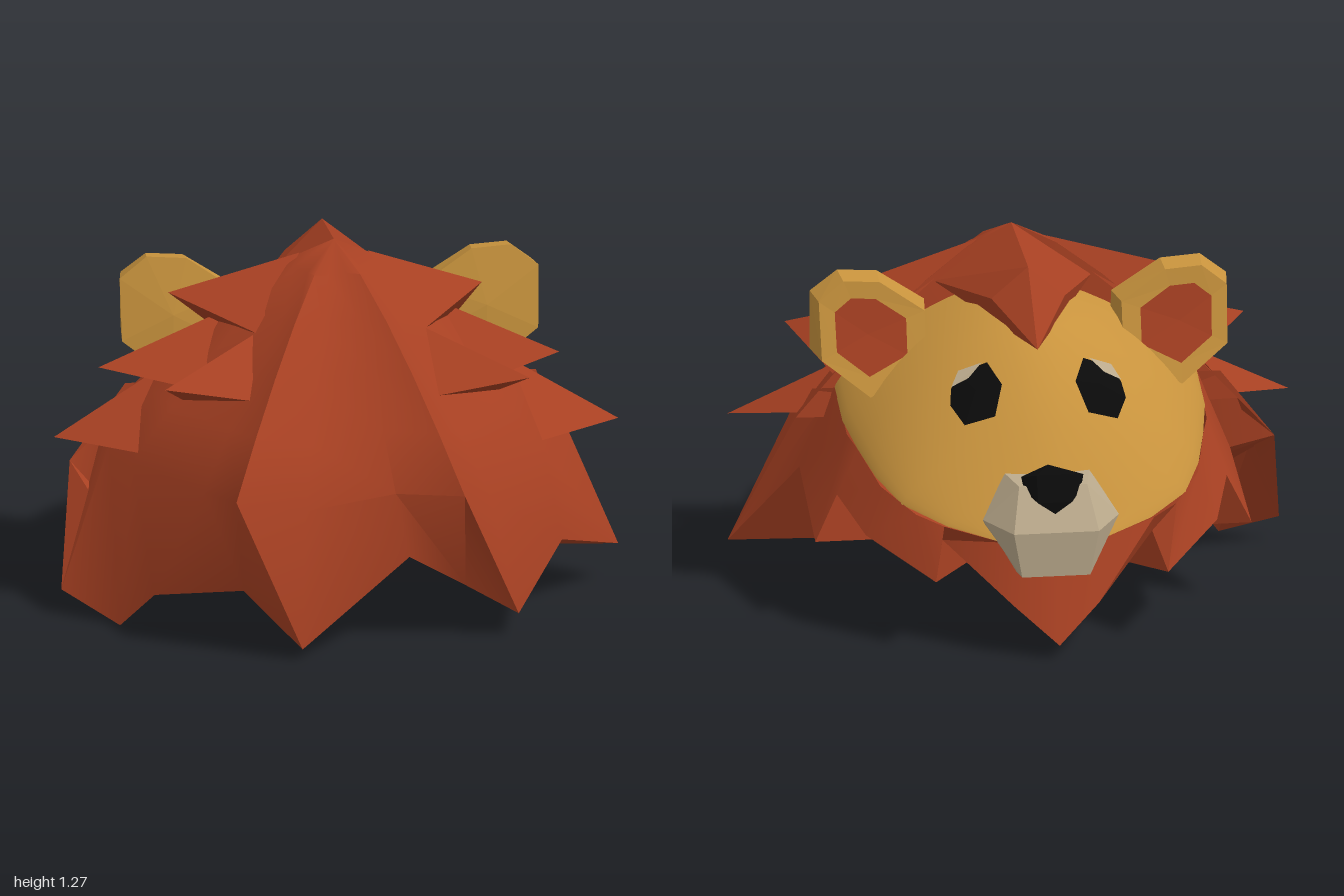
import * as THREE from 'three';
import { toCreasedNormals } from 'three/addons/utils/BufferGeometryUtils.js';
import { ConvexGeometry } from 'three/addons/geometries/ConvexGeometry.js';

const material = (name, color) =>
  new THREE.MeshStandardMaterial({ name, color, side: THREE.DoubleSide });
const rust = material('rust mane', 0xa74022);
const gold = material('golden fur', 0xc8933d);
const cream = material('cream muzzle', 0xbbaa8c);
const black = material('black', 0x0a0a0a);

const { lerp } = THREE.MathUtils;
const flip = ([x, y, z]) => [-x, y, z];
const mix = (a, b, t) => a.map((v, i) => lerp(v, b[i], t));

// Surface through rows of points; edges sharper than the crease angle stay sharp
function loft(rows, crease = 0) {
  const n = rows[0].length, index = [];
  for (let r = 0; r < rows.length - 1; r++) {
    for (let c = 0; c < n - 1; c++) {
      const a = r * n + c, b = a + n;
      index.push(a, b, a + 1, a + 1, b, b + 1);
    }
  }
  const g = new THREE.BufferGeometry();
  g.setAttribute('position', new THREE.Float32BufferAttribute(rows.flat(2), 3));
  g.setIndex(index);
  if (crease) return toCreasedNormals(g, crease);
  const flat = g.toNonIndexed();
  flat.computeVertexNormals();
  return flat;
}
const fan = (centre, points) => loft([points.map(() => centre), points]);
const hull = (points) => new ConvexGeometry(points.map((p) => new THREE.Vector3(...p)));

// Face: arches of changing width and height, as [z, half width, base y, top y]
const arches = [
  [0.03, 0.64, 0.73, 1.1], [-0.15, 0.64, 0.66, 1.1], [-0.3, 0.61, 0.6, 1.04],
  [-0.45, 0.57, 0.54, 0.92], [-0.6, 0.5, 0.48, 0.74], [-0.72, 0.36, 0.43, 0.56],
  [-0.81, 0.18, 0.39, 0.42],
];
const dome = (u) => Math.max(0, 1 - Math.abs(u) ** 1.6) ** 0.8;
function faceHeight(x, z) {
  let i = 0;
  while (i < arches.length - 2 && z < arches[i + 1][0]) i++;
  const t = (arches[i][0] - z) / (arches[i][0] - arches[i + 1][0]);
  const [, w, base, top] = mix(arches[i], arches[i + 1], t);
  return base + (top - base) * dome(x / w);
}

export function createModel() {
  const model = new THREE.Group();
  model.name = 'lionHead';
  const add = (name, geometry, mat) => {
    const mesh = new THREE.Mesh(geometry, mat);
    mesh.name = name;
    model.add(mesh);
  };

  // Back of the mane: crown spreading to a pointed waist, then a jagged hem
  const apex = [0, 1.27, 0.13];
  const waist = [
    [0.78, 0.63, 0.01], [0.7, 0.58, 0.45], [0.48, 0.52, 0.76], [0.37, 0.58, 0.955],
    [0.14, 0.56, 0.84], [-0.18, 0.52, 0.88], [-0.43, 0.58, 0.94], [-0.52, 0.55, 0.72],
    [-0.74, 0.57, 0.42], [-0.8, 0.58, 0.24], [-0.78, 0.63, 0.01],
  ];
  const hem = [
    [0.99, 0.14, 0.2], [0.76, 0.26, 0.5], [0.58, 0.08, 0.76], [0.39, 0.2, 0.79],
    [0.19, 0.32, 0.82], [-0.2, 0.04, 0.96], [-0.39, 0.21, 0.8], [-0.68, 0.14, 0.6],
    [-0.79, 0, 0.5], [-0.98, 0.09, 0.35], [-0.92, 0.47, 0.07],
  ];
  const last = hem.length - 1;
  const crown = [0, 0.2, 0.4, 0.6, 0.8, 1].map((t) => waist.map((p) => {
    const [x, , z] = mix(apex, p, t);
    return [x, apex[1] - (apex[1] - p[1]) * t ** 1.35, z];
  }));
  add('maneBack', loft([...crown, hem], 1), rust);

  // Wall closing the front of the mane behind the face
  const edge = (c) => crown.map((row) => row[c]);
  add('maneFrontWall', fan([0, 0.6, 0.06], [...edge(0).reverse(), ...edge(last)]), rust);

  // Tufts standing off the mane: three root points and a tip
  const tuft = (name, a, b, c, tip) => add(name, fan(tip, [a, b, c, a]), rust);
  for (const side of [1, -1]) {
    const s = (p) => (side > 0 ? p : flip(p));
    tuft('crownTuft', s([0.12, 1.22, 0.12]), s([0.3, 1.01, 0.36]), s([0.44, 0.96, 0.05]),
      side > 0 ? [0.52, 1.09, 0.12] : [-0.58, 1.09, 0.12]);
    tuft('upperTuft', s([0.38, 1.02, 0.12]), s([0.46, 0.82, 0.44]), s([0.64, 0.77, 0.05]),
      side > 0 ? [0.77, 0.89, 0.32] : [-0.84, 0.87, 0.26]);
    tuft('shoulderTuft', s([0.3, 1.0, 0.34]), s([0.32, 0.83, 0.58]), s([0.55, 0.77, 0.36]),
      s([0.64, 0.88, 0.57]));
    tuft('sideTuft', s([0.62, 0.8, 0.1]), s([0.7, 0.6, 0.42]), s([0.77, 0.64, 0.04]),
      s([0.99, 0.6, 0.2]));
  }

  // Forelock hanging over the brow
  const lock = [[0, 1.22, -0.25], [0.13, 1.11, -0.25], [0.28, 1.08, 0.1]];
  const ridge = [apex, lock[0], [0, 0.98, -0.46]];
  for (const s of [(p) => p, flip]) {
    add('forelock', loft([ridge.map(s), [lock[2], lock[1], ridge[2]].map(s)]), rust);
  }
  add('forelockUnderside', fan(ridge[2], [lock[2], lock[1], flip(lock[1]), flip(lock[2])]), rust);

  // Cheek and chin mane: a jagged collar under the face
  const collarTop = [
    [0.72, 0.73, 0.02], [0.64, 0.73, 0.02], [0.635, 0.63, -0.22], [0.61, 0.6, -0.3],
    [0.56, 0.52, -0.5], [0.46, 0.46, -0.66], [0.37, 0.43, -0.72], [0.18, 0.39, -0.81],
    [0, 0.39, -0.82],
  ];
  const collarTips = [
    [0.76, 0.44, 0.05], [0.77, 0.29, -0.37], [0.69, 0.45, -0.32], [0.62, 0.36, -0.55],
    [0.41, 0.25, -0.79], [0.37, 0.37, -0.68], [0.15, 0.18, -0.89], [0, 0.05, -0.96],
  ];
  const both = (half) => [...half, ...half.slice(0, -1).reverse().map(flip)];
  const collarHem = [hem[0], ...both(collarTips), hem[last]];
  add('collar', loft([both(collarTop), collarHem], 0.6), rust);

  // Underside: a fan to the collar and the hem notches, then the backs of the hem tips
  const notches = [...hem];
  for (const [tip, a, b, t] of [[2, 1, 4, 0.33], [3, 1, 4, 0.67], [5, 4, 6, 0.5],
    [8, 7, last, 0.35], [9, 7, last, 0.7]]) notches[tip] = mix(hem[a], hem[b], t);
  add('underside', fan([0, 0.14, 0.12], [...collarHem, ...notches.slice(0, last).reverse()]), rust);
  add('hemTipBacks', loft([notches, hem]), rust);

  // Smooth face
  const steps = 24;
  add('face', loft(arches.map(([z, w, base, top]) =>
    Array.from({ length: steps + 1 }, (_, i) => {
      const u = Math.cos((i / steps) * Math.PI);
      return [w * u, base + (top - base) * dome(u), z];
    })), 1.2), gold);

  // Eyes: thin patches following the face, each with a pale glint
  const eye = [[0.31, -0.465], [0.27, -0.535], [0.165, -0.55], [0.13, -0.48],
    [0.17, -0.4], [0.27, -0.385], [0.3, -0.42], [0.31, -0.465]];
  const glint = [[0.19, -0.398], [0.24, -0.425], [0.3, -0.42], [0.27, -0.383]];
  for (const side of [1, -1]) {
    const on = (lift) => ([x, z]) => [side * x, faceHeight(x, z) + lift, z - lift * 0.6];
    add('eye', fan(on(0.015)([0.22, -0.465]), eye.map(on(0.012))), black);
    add('eyeGlint', fan(on(0.02)(glint[0]), glint.slice(1).map(on(0.02))), cream);
  }

  // Ears: a tapering wedge with a rust-coloured inside
  const outline = [[0.55, 0.74], [0.73, 0.88], [0.735, 1.1], [0.64, 1.175],
    [0.5, 1.165], [0.33, 1.05], [0.33, 0.85]];
  const ring = (scale, front) => [...outline, outline[0]].map(([x, y]) => {
    const px = lerp(0.55, x, scale), py = lerp(0.97, y, scale);
    const up = (py - 0.74) / 0.44;
    return [px, py, front ? -0.12 - 0.1 * (1 - up) ** 1.5 : lerp(0.03, -0.03, up)];
  });
  for (const s of [(p) => p, flip]) {
    const rows = [ring(1, false), ring(0.92, true), ring(0.62, true)].map((r) => r.map(s));
    add('ear', loft(rows), gold);
    add('earBack', fan(s([0.55, 0.97, 0.015]), rows[0]), gold);
    add('innerEar', fan(s([0.55, 0.97, -0.15]), rows[2]), rust);
  }

  // Muzzle and nose
  const mirrored = (points) => [...points, ...points.map(flip)];
  add('muzzle', hull(mirrored([
    [0.15, 0.6, -0.67], [0.24, 0.46, -0.76], [0.19, 0.34, -0.74],
    [0.12, 0.59, -0.81], [0.15, 0.44, -0.89], [0.12, 0.28, -0.88],
  ])), cream);
  add('nose', hull([[0, 0.63, -0.69], [0, 0.58, -0.69], [0, 0.5, -0.86],
    ...mirrored([[0.11, 0.62, -0.79], [0.1, 0.57, -0.8], [0.06, 0.63, -0.82], [0.06, 0.54, -0.855]])]), black);

  return model;
}
